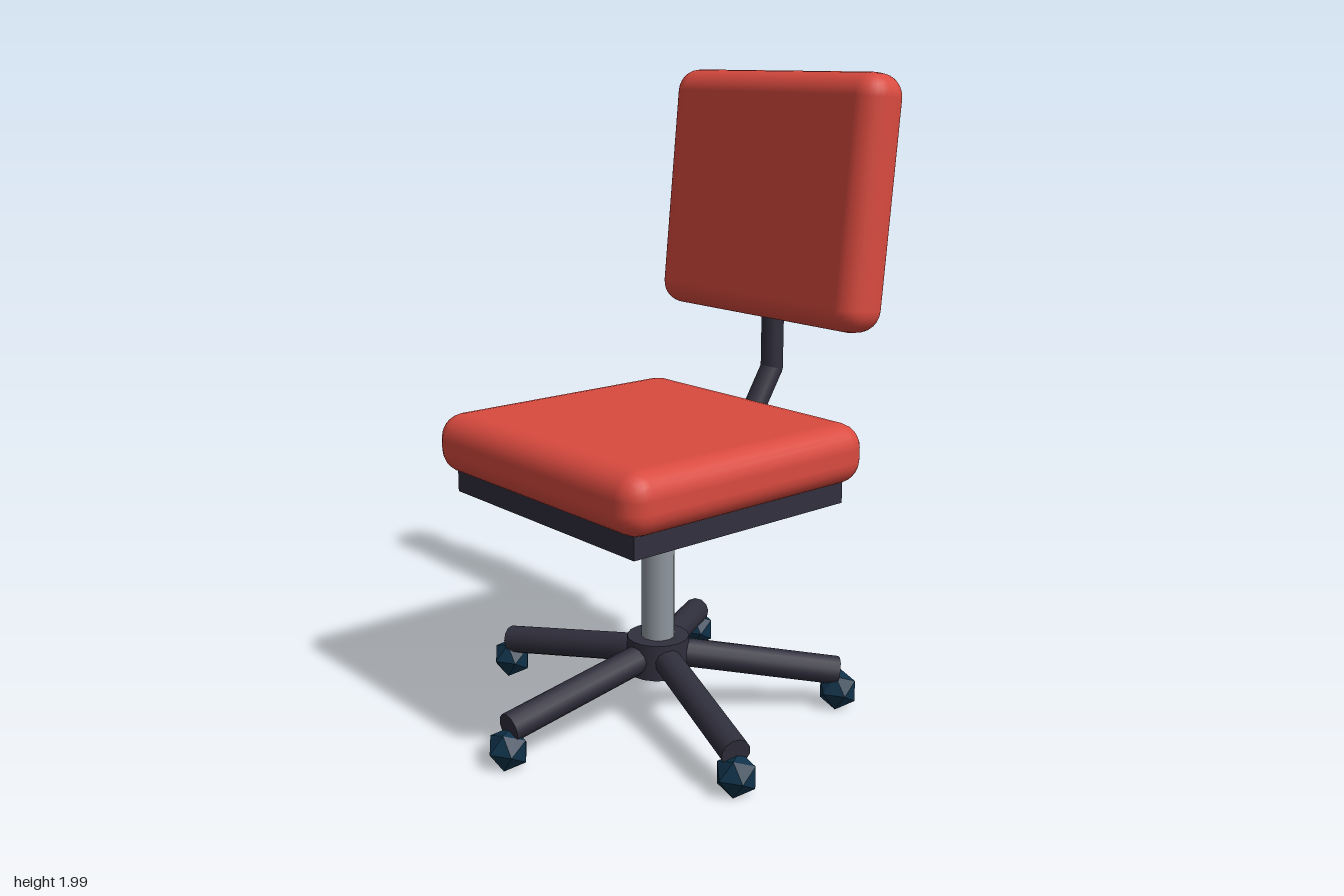
import * as THREE from 'three';
import { RoundedBoxGeometry } from 'three/addons/geometries/RoundedBoxGeometry.js';

export function createModel() {
  const chair = new THREE.Group();
  chair.name = 'swivelChair';

  const mat = (name, color, flatShading = false) => {
    const m = new THREE.MeshStandardMaterial({ color, flatShading });
    m.name = name;
    return m;
  };
  const red = mat('redUpholstery', 0xd94a3f);
  const dark = mat('darkFrame', 0x302f3d);
  const steel = mat('greySteel', 0x8f979f);
  const navy = mat('navyBlue', 0x0f3148, true);
  const gold = mat('goldPlate', 0xd2ab30);

  const add = (name, geometry, material, x = 0, y = 0, z = 0) => {
    const mesh = new THREE.Mesh(geometry, material);
    mesh.name = name;
    mesh.position.set(x, y, z);
    chair.add(mesh);
    return mesh;
  };

  // Straight round bar between two points
  const bar = (name, a, b, radius, material) => {
    const dir = b.clone().sub(a);
    const mesh = add(name, new THREE.CylinderGeometry(radius, radius, dir.length(), 12), material);
    mesh.position.copy(a).add(b).multiplyScalar(0.5);
    mesh.quaternion.setFromUnitVectors(new THREE.Vector3(0, 1, 0), dir.normalize());
    return mesh;
  };
  const V = (x, y, z) => new THREE.Vector3(x, y, z);

  // Five-legged base with faceted casters
  const baseZ = -0.02;
  const casterGeo = new THREE.IcosahedronGeometry(0.066, 0);
  casterGeo.rotateX(0.5536).rotateZ(Math.PI / 2);
  for (let i = 0; i < 5; i++) {
    const a = (i * Math.PI * 2) / 5;
    const at = (r, y) => V(Math.sin(a) * r, y, baseZ + Math.cos(a) * r);
    bar('leg', at(0, 0.22), at(0.577, 0.127), 0.045, dark);
    const c = at(0.58, 0.062);
    add('caster', casterGeo, navy, c.x, c.y, c.z);
  }
  add('hub', new THREE.CylinderGeometry(0.098, 0.098, 0.116, 16), dark, 0, 0.209, baseZ);
  bar('post', V(0, 0.2, baseZ), V(0, 0.76, baseZ), 0.053, steel);

  // Seat cushion on its pan
  add('seatPan', new THREE.BoxGeometry(0.854, 0.09, 0.816), dark, 0, 0.775, 0.022);
  add('seat', new RoundedBoxGeometry(0.966, 0.186, 0.926, 3, 0.075), red, 0, 0.886, 0.02);

  // Bent back support
  const bend = V(0, 1.065, -0.504);
  bar('supportLower', V(0, 0.86, -0.376), bend, 0.037, dark);
  bar('supportUpper', bend, V(0, 1.4, -0.504), 0.037, dark);
  add('supportElbow', new THREE.SphereGeometry(0.037, 12, 8), dark, bend.x, bend.y, bend.z);

  // Tilted backrest
  const back = add('backrest', new RoundedBoxGeometry(0.886, 0.768, 0.172, 3, 0.072), red, 0, 1.617, -0.504);
  back.rotation.x = -0.097;

  // Plate and star on the rear of the backrest
  add('rearPlate', new THREE.BoxGeometry(0.58, 0.308, 0.06), gold, 0, 1.621, -0.59);
  const star = new THREE.Shape();
  for (let i = 0; i < 10; i++) {
    const r = i % 2 ? 0.048 : 0.12;
    const a = (i * Math.PI) / 5;
    star[i ? 'lineTo' : 'moveTo'](Math.sin(a) * r, Math.cos(a) * r);
  }
  star.closePath();
  add('star', new THREE.ExtrudeGeometry(star, { depth: 0.009, bevelEnabled: false }), navy, 0, 1.624, -0.628);

  return chair;
}
